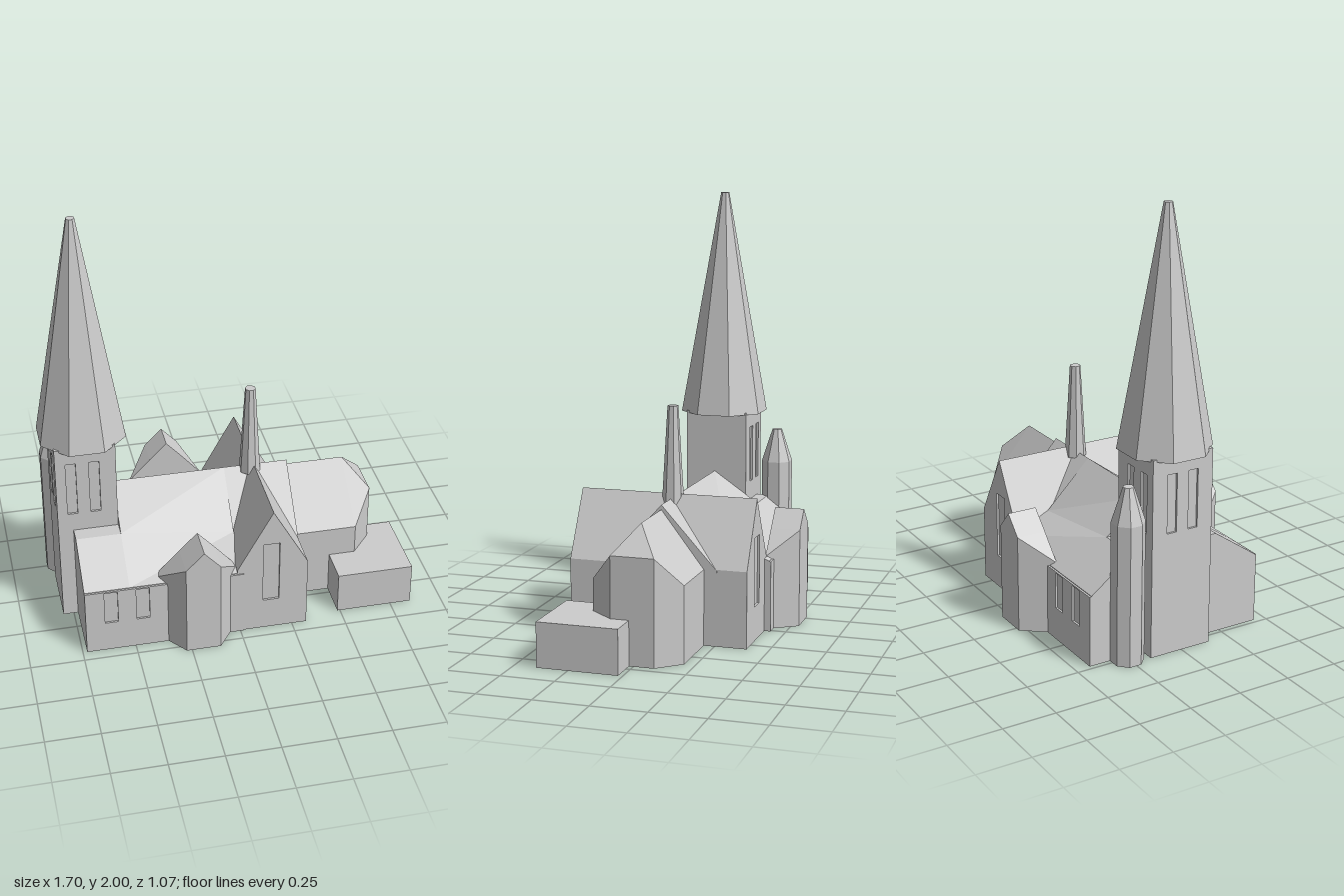
import * as THREE from 'three';
import { ConvexGeometry } from 'three/addons/geometries/ConvexGeometry.js';

const stone = new THREE.MeshStandardMaterial({ color: 0xcccccc });
stone.name = 'pale grey stone';

export function createModel() {
  const church = new THREE.Group();
  church.name = 'church';

  const add = (name, geometry, x = 0, y = 0, z = 0, turn = 0) => {
    const mesh = new THREE.Mesh(geometry, stone);
    mesh.name = name;
    mesh.position.set(x, y, z);
    mesh.rotation.y = turn;
    church.add(mesh);
    return mesh;
  };

  // Box given by its limits on each axis
  const block = (name, x0, x1, y0, y1, z0, z1) =>
    add(name, new THREE.BoxGeometry(x1 - x0, y1 - y0, z1 - z0), (x0 + x1) / 2, (y0 + y1) / 2, (z0 + z1) / 2);

  // Solid joining cross-sections along x; each section is [x, [[z, y], ...]] starting at the +z foot
  const loft = (name, sections) => {
    const v = [];
    const put = (s, i) => v.push(s[0], s[1][i][1], s[1][i][0]);
    const tri = (...corners) => corners.forEach(([s, i]) => put(s, i));
    const n = sections[0][1].length;
    for (let k = 0; k < sections.length - 1; k++) {
      const p = sections[k], q = sections[k + 1];
      for (let i = 0; i < n; i++) {
        const j = (i + 1) % n;
        tri([p, i], [q, i], [q, j]);
        tri([p, i], [q, j], [p, j]);
      }
    }
    const first = sections[0], last = sections[sections.length - 1];
    for (let i = 1; i < n - 1; i++) {
      tri([first, 0], [first, i], [first, i + 1]);
      tri([last, 0], [last, i + 1], [last, i]);
    }
    const g = new THREE.BufferGeometry();
    g.setAttribute('position', new THREE.Float32BufferAttribute(v, 3));
    g.computeVertexNormals();
    return add(name, g);
  };

  // Thin wall skin with window openings [x0, x1, y0, y1], leaving shallow recesses
  const skin = (name, outline, windows, x, z, turn = 0) => {
    const shape = new THREE.Shape(outline.map(([a, b]) => new THREE.Vector2(a, b)));
    for (const [x0, x1, y0, y1] of windows) {
      shape.holes.push(new THREE.Path([[x0, y0], [x0, y1], [x1, y1], [x1, y0]].map(([a, b]) => new THREE.Vector2(a, b))));
    }
    add(name, new THREE.ExtrudeGeometry(shape, { depth: 0.01, bevelEnabled: false }), x, 0, z, turn);
  };
  const rect = (x0, x1, y0, y1) => [[x0, y0], [x1, y0], [x1, y1], [x0, y1]];

  // Octagonal tapered prism with flat sides facing the axes
  const octagon = (name, rBottom, rTop, y0, y1, x, z) => {
    const g = new THREE.CylinderGeometry(rTop, rBottom, y1 - y0, 8).rotateY(Math.PI / 8).toNonIndexed();
    g.computeVertexNormals();
    add(name, g, x, (y0 + y1) / 2, z);
  };

  // Nave with a roof that flattens towards the transept
  const naveSection = (kink) => [[0.436, 0], [0.436, 0.335], [0.22, kink], [0, 0.635], [-0.22, kink], [-0.421, 0.335], [-0.421, 0]];
  loft('nave', [[-0.52, naveSection(0.485)], [0.015, naveSection(0.415)]]);
  const westSection = [[0.436, 0], [0.436, 0.335], [0.22, 0.485], [-0.22, 0.485], [-0.421, 0.335], [-0.421, 0]];
  loft('naveWestEnd', [[-0.73, westSection], [-0.52, westSection]]);
  const naveWindows = [[-0.64, -0.578, 0.155, 0.325], [-0.492, -0.43, 0.155, 0.325]];
  for (const z of [0.435, -0.43]) skin('naveSideWall', rect(-0.73, 0.015, 0, 0.332), naveWindows, 0, z);

  // Transept with gable walls front and back
  const gable = [[-0.015, 0], [0.32, 0], [0.32, 0.355], [0.152, 0.655], [-0.015, 0.355]];
  const body = new THREE.Shape(gable.map(([a, b]) => new THREE.Vector2(a, b)));
  add('transept', new THREE.ExtrudeGeometry(body, { depth: 0.82, bevelEnabled: false }), 0, 0, -0.39);
  for (const z of [0.43, -0.4]) skin('transeptGable', gable, [[0.107, 0.185, 0.16, 0.48]], 0, z);

  // Steeper roof over the crossing
  const crossing = [[0.26, 0], [0.26, 0.35], [0, 0.635], [-0.26, 0.35], [-0.26, 0]];
  loft('crossing', [[0, crossing], [0.321, crossing]]);

  // Choir with a three-sided end
  const choir = [];
  const corner = (x, y, z) => choir.push(new THREE.Vector3(x, y, z));
  for (const x of [0.3, 0.613]) {
    for (const z of [0.22, -0.2]) { corner(x, 0, z); corner(x, 0.352, z); }
  }
  for (const z of [0.105, -0.095]) { corner(0.71, 0, z); corner(0.71, 0.485, z); }
  corner(0.3, 0.613, 0);
  corner(0.595, 0.613, 0);
  add('choir', new ConvexGeometry(choir));

  // Low annex beside the choir
  block('annex', 0.487, 0.85, 0, 0.205, 0.02, 0.395);

  // Gabled side chapels with canted corners
  const chapel = (name, inner, shoulder, outer) => loft(name, [
    [-0.378, shoulder, 0.352], [-0.275, outer, 0.46], [-0.19, outer, 0.545], [-0.113, outer, 0.46], [-0.02, shoulder, 0.352],
  ].map(([x, z, top]) => {
    const hi = Math.max(z, inner), lo = Math.min(z, inner);
    return [x, [[hi, 0], [hi, top], [lo, top], [lo, 0]]];
  }));
  chapel('frontChapel', 0.37, 0.403, 0.533);
  chapel('backChapel', -0.396, -0.402, -0.535);

  // West tower with paired belfry openings on three sides
  block('towerCore', -0.79, -0.52, 0, 0.93, -0.15, 0.135);
  const belfry = [[-0.752, -0.705, 0.577, 0.85], [-0.645, -0.597, 0.577, 0.85]];
  for (const z of [0.135, -0.16]) skin('towerWall', rect(-0.8, -0.52, 0, 0.93), belfry, 0, z);
  skin('towerWestWall', rect(-0.15, 0.135, 0, 0.93), [[-0.085, -0.037, 0.577, 0.85], [0.022, 0.07, 0.577, 0.85]], -0.79, 0, -Math.PI / 2);
  octagon('towerSpire', 0.213, 0.02, 0.92, 2, -0.655, -0.01);

  // Stair turret
  octagon('stairTurret', 0.076, 0.076, 0, 0.66, -0.758, -0.257);
  octagon('stairTurretRoof', 0.076, 0.024, 0.66, 0.82, -0.758, -0.257);

  // Slender spire above the crossing
  octagon('crossingSpire', 0.051, 0.025, 0.61, 1.06, 0.14, 0.003);

  return church;
}
